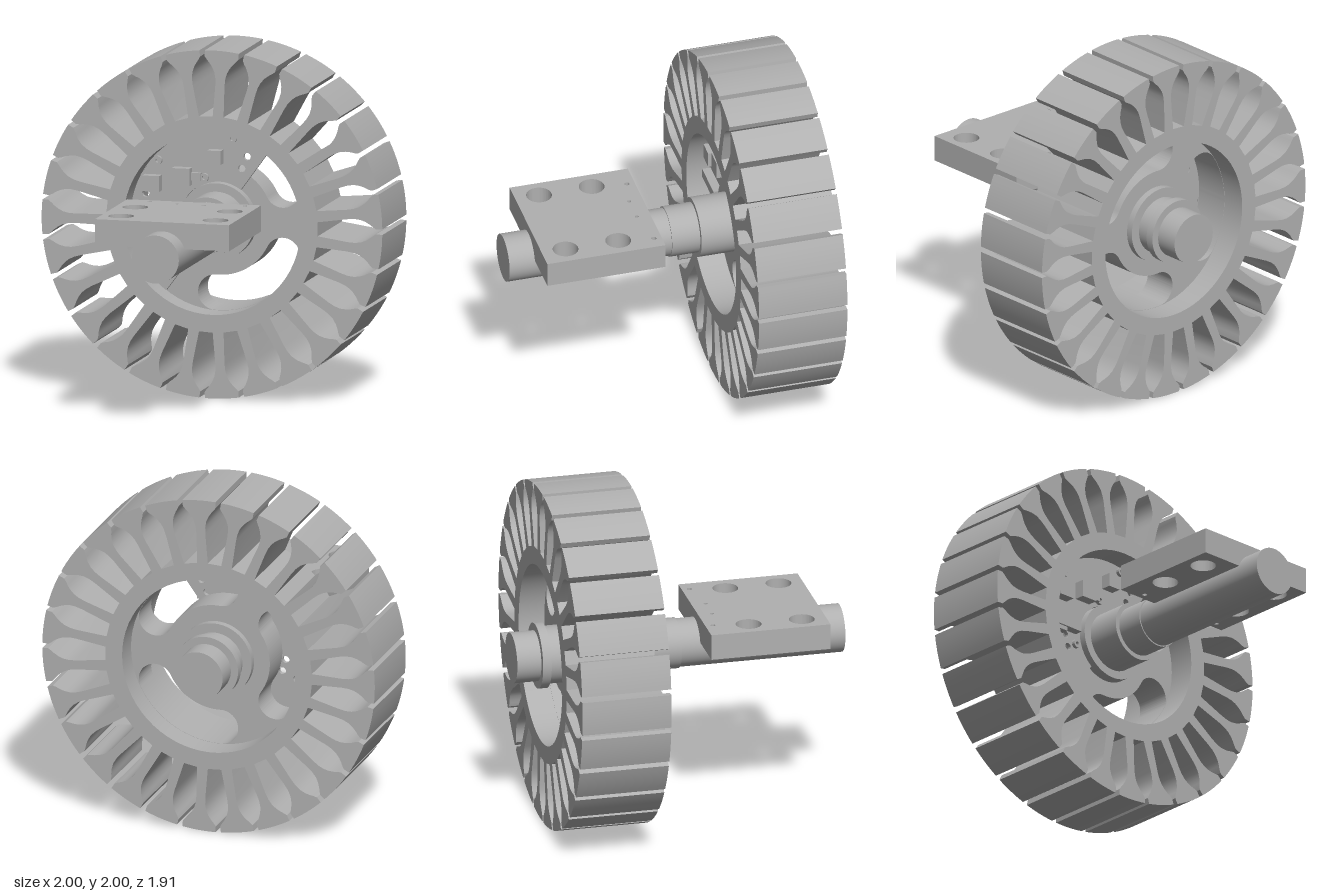
import * as THREE from 'three';
import { toCreasedNormals } from 'three/addons/utils/BufferGeometryUtils.js';

const AXIS_Y = 1;
const TEETH = 27;

export function createModel() {
  const model = new THREE.Group();
  const steel = new THREE.MeshStandardMaterial({ color: 0xb0b0b0 });
  steel.name = 'steel grey';

  // The wheel group is centred on the axle line
  const wheel = new THREE.Group();
  wheel.name = 'wheel';
  wheel.position.y = AXIS_Y;
  model.add(wheel);

  const add = (name, geometry, parent = wheel) => {
    const mesh = new THREE.Mesh(geometry, steel);
    mesh.name = name;
    parent.add(mesh);
    return mesh;
  };
  // Extrude a shape from zBack to zFront
  const slab = (shape, zBack, zFront) => {
    const g = new THREE.ExtrudeGeometry(shape, {
      depth: zFront - zBack, bevelEnabled: false, curveSegments: 32,
    });
    return toCreasedNormals(g.translate(0, 0, zBack), 0.6);
  };
  const circle = (x, y, r) => new THREE.Path().absarc(x, y, r, 0, Math.PI * 2, true);
  // Cylinder along z
  const rod = (name, r, zBack, zFront, x = 0, y = 0) => {
    const g = new THREE.CylinderGeometry(r, r, zFront - zBack, r > 0.1 ? 64 : 16);
    add(name, g.rotateX(Math.PI / 2).translate(x, y, (zBack + zFront) / 2));
  };
  const polar = (r, a) => new THREE.Vector2(r * Math.cos(a), r * Math.sin(a));

  // Toothed ring: half profile of one tooth as [radius, half width]
  const half = [
    [0.622, 0.032], [0.80, 0.027], [0.84, 0.029], [0.875, 0.037],
    [0.905, 0.052], [0.93, 0.07], [0.945, 0.084], [0.965, 0.099],
  ];
  const outline = [];
  for (let i = 0; i < TEETH; i++) {
    const a = Math.PI + (i * Math.PI * 2) / TEETH;
    const point = (r, w) => outline.push(polar(r, a + Math.asin(w / r)));
    half.forEach(([r, w]) => point(r, -w));
    for (let k = -3; k <= 3; k++) outline.push(polar(1, a + (k / 3) * 0.1));
    [...half].reverse().forEach(([r, w]) => point(r, w));
  }
  const ring = new THREE.Shape(outline);
  ring.holes.push(new THREE.Path().absarc(0, 0, 0.52, 0, Math.PI * 2, true));
  add('toothedRing', slab(ring, -0.79, -0.27));

  // Web with three kidney-shaped openings
  const web = new THREE.Shape().absarc(0, 0, 0.56, 0, Math.PI * 2, false);
  const rIn = 0.315, rOut = 0.518, rMid = (rIn + rOut) / 2, rCap = (rOut - rIn) / 2;
  for (const mid of [-1, 1, 3]) {
    const a0 = (mid * Math.PI) / 3 - 0.58, a1 = (mid * Math.PI) / 3 + 0.58;
    const c0 = polar(rMid, a0), c1 = polar(rMid, a1);
    const kidney = new THREE.Path();
    kidney.absarc(0, 0, rOut, a0, a1, false);
    kidney.absarc(c1.x, c1.y, rCap, a1, a1 + Math.PI, false);
    kidney.absarc(0, 0, rIn, a1, a0, true);
    kidney.absarc(c0.x, c0.y, rCap, a0 + Math.PI, a0 + Math.PI * 2, false);
    web.holes.push(kidney);
  }
  add('web', slab(web, -0.64, -0.43));

  // Circuit board: half annulus with mounting holes
  const b0 = THREE.MathUtils.degToRad(54), b1 = THREE.MathUtils.degToRad(233.5);
  const board = new THREE.Shape();
  board.absarc(0, 0, 0.514, b0, b1, false);
  board.absarc(0, 0, 0.225, b1, b0, true);
  const boardHoles = [
    [0.17, 0.375], [0.138, 0.305], [-0.425, 0.14], [-0.482, -0.075],
    [-0.402, -0.155], [-0.337, -0.045], [-0.316, -0.115],
  ];
  boardHoles.forEach(([x, y]) => board.holes.push(circle(x, y, 0.021)));
  add('circuitBoard', slab(board, -0.43, -0.405));

  // Board components: x, y, width, height, depth
  [
    [-0.01, 0.37, 0.08, 0.08, 0.06], [-0.205, 0.25, 0.105, 0.1, 0.06],
    [-0.125, 0.25, 0.06, 0.045, 0.03],
    [-0.38, 0.205, 0.1, 0.09, 0.06], [-0.375, 0.007, 0.235, 0.055, 0.05],
    [-0.425, -0.02, 0.13, 0.05, 0.04],
  ].forEach(([x, y, w, h, d]) => add('boardComponent',
    new THREE.BoxGeometry(w, h, d).translate(x, y, -0.405 + d / 2)));

  // Small ring terminals
  [[0.085, 0.475], [-0.352, 0.333], [-0.08, 0.245], [-0.262, -0.085], [-0.455, -0.17]]
    .forEach(([x, y]) => {
      const terminal = new THREE.Shape().absarc(x, y, 0.025, 0, Math.PI * 2, false);
      terminal.holes.push(circle(x, y, 0.011));
      add('terminal', slab(terminal, -0.405, -0.385));
    });

  // Hub and stepped axle
  rod('hub', 0.22, -0.68, -0.37);
  rod('frontSleeve', 0.172, -0.4, -0.165);
  rod('frontCollar', 0.145, -0.2, 0);
  rod('axle', 0.138, -0.1, 0.955);
  rod('rearSleeve', 0.165, -0.78, -0.6);
  rod('rearCollar', 0.188, -0.82, -0.77);
  rod('rearAxle', 0.145, -0.96, -0.8);

  // Mounting block, drawn in plan (shape y = -z) and raised upwards
  const plan = new THREE.Shape([
    new THREE.Vector2(-0.395, -0.805), new THREE.Vector2(0.392, -0.805),
    new THREE.Vector2(0.392, -0.11), new THREE.Vector2(-0.395, -0.11),
  ]);
  for (const x of [-0.28, 0.275]) {
    for (const z of [0.355, 0.665]) plan.holes.push(circle(x, -z, 0.073));
  }
  for (const [x, z, r] of [[-0.25, 0.155, 0.014], [0.31, 0.155, 0.014],
    [-0.08, 0.19, 0.011], [0.075, 0.19, 0.011]]) plan.holes.push(circle(x, -z, r));
  const block = add('mountingBlock', slab(plan, 0, 0.15), model);
  block.rotation.x = -Math.PI / 2;
  block.position.y = 1.04;

  return model;
}
